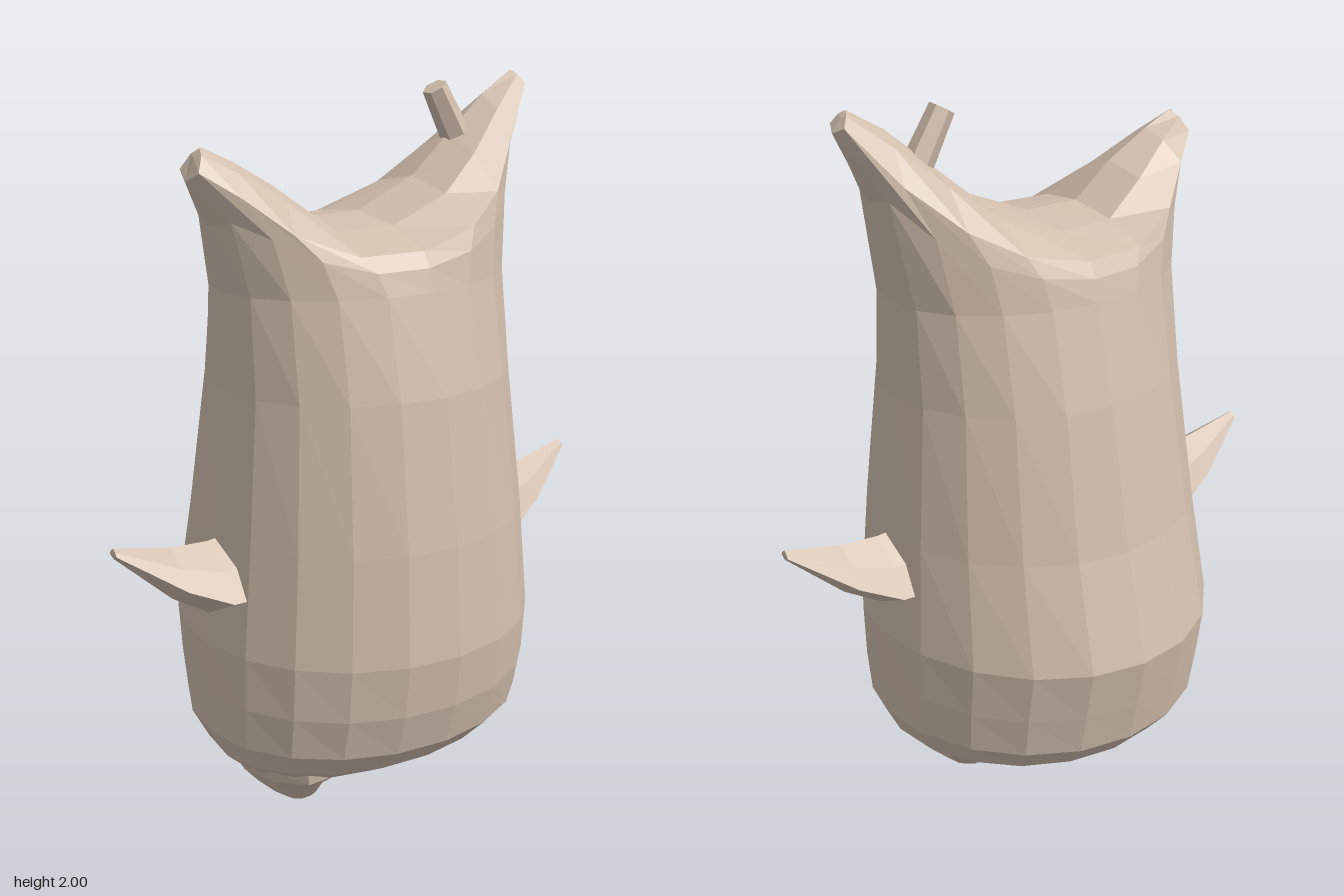
import * as THREE from 'three';

const MID_Z = 0.045;
const SIDES = 20;

// Skin over rings of [x, y, z] points listed from bottom to top, with optional end points
function loft(rings, startCap, endCap) {
  const n = rings[0].length;
  const points = rings.flat();
  const index = [];
  for (let i = 0; i < rings.length - 1; i++) {
    for (let k = 0; k < n; k++) {
      const a = i * n + k, d = i * n + (k + 1) % n;
      index.push(a, a + n, d + n, a, d + n, d);
    }
  }
  if (startCap) {
    const c = points.push(startCap) - 1;
    for (let k = 0; k < n; k++) index.push(c, k, (k + 1) % n);
  }
  if (endCap) {
    const c = points.push(endCap) - 1, o = (rings.length - 1) * n;
    for (let k = 0; k < n; k++) index.push(c, o + (k + 1) % n, o + k);
  }
  const g = new THREE.BufferGeometry();
  g.setAttribute('position', new THREE.Float32BufferAttribute(points.flat(), 3));
  g.setIndex(index);
  const flat = g.toNonIndexed();
  flat.computeVertexNormals();
  return flat;
}

// Oval ring with separate front and back depths
function ovalRing([y, w, front, back]) {
  return Array.from({ length: SIDES }, (_, k) => {
    const a = (k / SIDES) * Math.PI * 2, s = Math.sin(a);
    return [w * Math.cos(a), y, MID_Z + s * (s > 0 ? front - MID_Z : MID_Z - back)];
  });
}

function bodyGeometry() {
  // y, half width, front z, back z
  const rings = [
    [0.14, 0.38, 0.27, -0.25],
    [0.20, 0.445, 0.37, -0.38],
    [0.28, 0.485, 0.45, -0.45],
    [0.40, 0.492, 0.485, -0.475],
    [0.55, 0.493, 0.503, -0.505],
    [0.85, 0.465, 0.48, -0.42],
    [1.24, 0.427, 0.425, -0.34],
    [1.50, 0.425, 0.365, -0.275],
  ].map(ovalRing);

  // Rim from the left ear tip across to the right: x, rim y, half depth, ridge x, ridge y
  const crown = [
    [0.56, 1.95, 0, 0.52, 1.998],
    [0.545, 1.965, 0.035, 0.52, 2.0],
    [0.43, 1.82, 0.11, 0.42, 1.94],
    [0.31, 1.71, 0.20, 0.30, 1.84],
    [0.18, 1.64, 0.26, 0.18, 1.74],
    [0, 1.6, 0.28, 0, 1.665],
    [-0.18, 1.6, 0.255, -0.16, 1.665],
    [-0.33, 1.66, 0.19, -0.27, 1.755],
    [-0.43, 1.75, 0.11, -0.39, 1.825],
    [-0.51, 1.81, 0.045, -0.475, 1.865],
    [-0.52, 1.785, 0, -0.48, 1.865],
  ];
  const rim = [], shoulder = [], ridge = [];
  for (let k = 0; k < SIDES; k++) {
    const front = k <= SIDES / 2;
    const [x, y, dz, rx, ry] = crown[front ? k : SIDES - k];
    const z = front ? dz : -dz;
    rim.push([x, y, MID_Z + z]);
    shoulder.push([x + (rx - x) * 0.6, y + (ry - y) * 0.7, MID_Z + z * 0.55]);
    ridge.push([rx, ry, MID_Z]);
  }
  // Flare between the chest and the ears
  const chest = rings[rings.length - 1];
  const flare = chest.map((p, k) => [0.35, 0.6, 0.4].map((t, i) => p[i] + (rim[k][i] - p[i]) * t));
  rings.push(flare, rim, shoulder, ridge);
  return loft(rings, [0, 0.155, 0]);
}

// Pointed arm along +x: outline points as [y, z], shrinking to the tip
function armGeometry() {
  const outline = [[0.85, 0], [0.79, -0.09], [0.71, -0.135], [0.64, 0], [0.71, 0.135], [0.79, 0.09]];
  const section = (x, scale, top) => outline.map(([y, z]) => [x, top + (y - 0.85) * scale, z * scale]);
  return loft(
    [section(0.44, 1, 0.85), section(0.49, 0.97, 0.845), section(0.6, 0.68, 0.852), section(0.765, 0.13, 0.888)],
    null, [0.768, 0.875, 0]);
}

// Stubby foot: y, centre x, x radius, z radius
function footGeometry() {
  const rings = [
    [0.005, 0.205, 0.045, 0.04],
    [0.035, 0.22, 0.07, 0.075],
    [0.09, 0.242, 0.105, 0.125],
    [0.14, 0.255, 0.135, 0.19],
    [0.19, 0.26, 0.15, 0.2],
  ].map(([y, cx, rx, rz]) => Array.from({ length: 10 }, (_, k) => {
    const a = (k / 10) * Math.PI * 2;
    return [cx + rx * Math.cos(a), y, rz * Math.sin(a)];
  }));
  return loft(rings, [0.205, 0, 0]);
}

export function createModel() {
  const model = new THREE.Group();
  model.name = 'creature';
  const skin = new THREE.MeshStandardMaterial({ color: 0xd2bfae, flatShading: true });
  const add = (name, geometry) => {
    const mesh = new THREE.Mesh(geometry, skin);
    mesh.name = name;
    model.add(mesh);
    return mesh;
  };

  add('body', bodyGeometry());

  // Limbs are symmetric front to back, so a half turn mirrors them
  const arm = armGeometry(), foot = footGeometry();
  for (const [side, turn] of [['left', 0], ['right', Math.PI]]) {
    for (const [part, geometry] of [['Arm', arm], ['Foot', foot]]) {
      const limb = add(side + part, geometry);
      limb.position.z = MID_Z;
      limb.rotation.y = turn;
    }
  }

  // Small nub on the left ear
  const nub = add('earNub', new THREE.CylinderGeometry(0.034, 0.042, 0.17, 6));
  nub.position.set(0.295, 1.895, MID_Z);
  nub.rotation.z = 0.52;

  return model;
}
